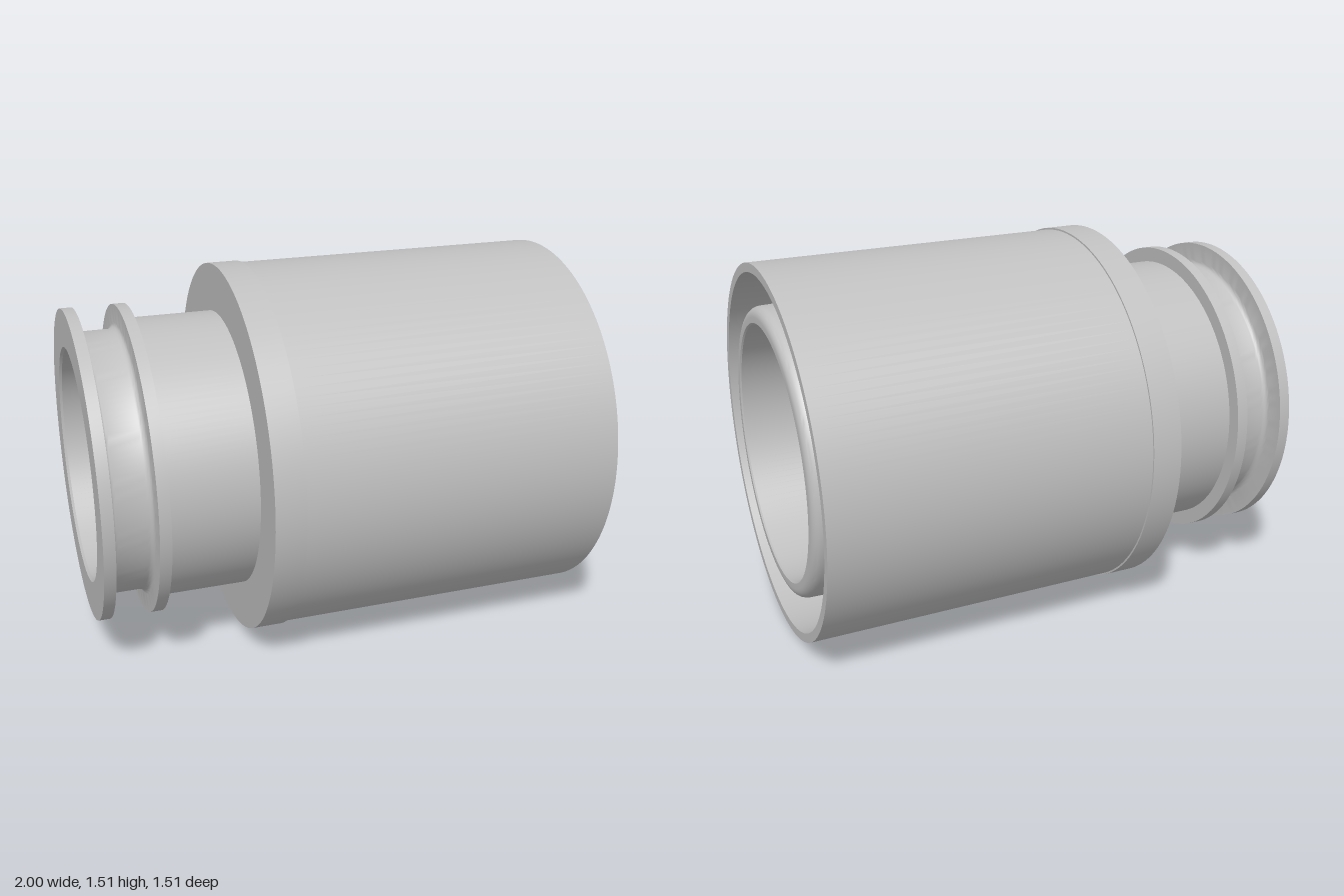
import * as THREE from 'three';
import { toCreasedNormals } from 'three/addons/utils/BufferGeometryUtils.js';

const SEGMENTS = 128;

// Quarter-round points about a centre (x, r), from angle a to angle b in degrees
function arc(x, r, radius, a, b, steps = 6) {
  return Array.from({ length: steps + 1 }, (_, i) => {
    const t = THREE.MathUtils.degToRad(a + ((b - a) * i) / steps);
    return [x + radius * Math.cos(t), r + radius * Math.sin(t)];
  });
}

export function createModel() {
  const grey = new THREE.MeshStandardMaterial({ color: 0xc0c0c0 });
  grey.name = 'light grey';
  const body = new THREE.Group();
  body.name = 'sleeve';

  // Revolve a profile of [x, radius] pairs around the x axis
  function turn(name, profile) {
    const points = profile.map(([x, r]) => new THREE.Vector2(r, x));
    const geometry = toCreasedNormals(new THREE.LatheGeometry(points, SEGMENTS), 0.5);
    geometry.rotateZ(-Math.PI / 2);
    const mesh = new THREE.Mesh(geometry, grey);
    mesh.name = name;
    body.add(mesh);
  }

  // End flange with the rounded groove behind it, and the second flange
  turn('groovedFlange', [
    [-1, 0.47], [-1, 0.622], [-0.955, 0.622],
    ...arc(-0.93, 0.55, 0.025, 180, 270),
    ...arc(-0.82, 0.55, 0.025, 270, 360),
    [-0.795, 0.622], [-0.75, 0.622], [-0.75, 0.562],
  ]);

  // Plain neck
  turn('neck', [[-0.75, 0.562], [-0.4, 0.562]]);

  // Slightly raised collar and its flat shoulder
  turn('collar', [[-0.4, 0.562], [-0.4, 0.753], [-0.28, 0.753], [-0.28, 0.746]]);

  // Outer shell, front rim and tapered inside wall
  turn('outerShell', [[-0.28, 0.746], [1, 0.746], [1, 0.71], [-0.3, 0.67]]);

  // Floor of the ring-shaped cavity
  turn('cavityFloor', [[-0.3, 0.67], [-0.3, 0.607]]);

  // Inner tube with a rounded lip and a tapered bore
  turn('innerTube', [
    [-0.3, 0.607],
    ...arc(0.96, 0.537, 0.04, 90, 0),
    [1, 0.514], [0.994, 0.508], [-0.99, 0.46], [-1, 0.47],
  ]);

  body.position.y = 0.753;
  const model = new THREE.Group();
  model.name = 'pipeSleeve';
  model.add(body);
  return model;
}
